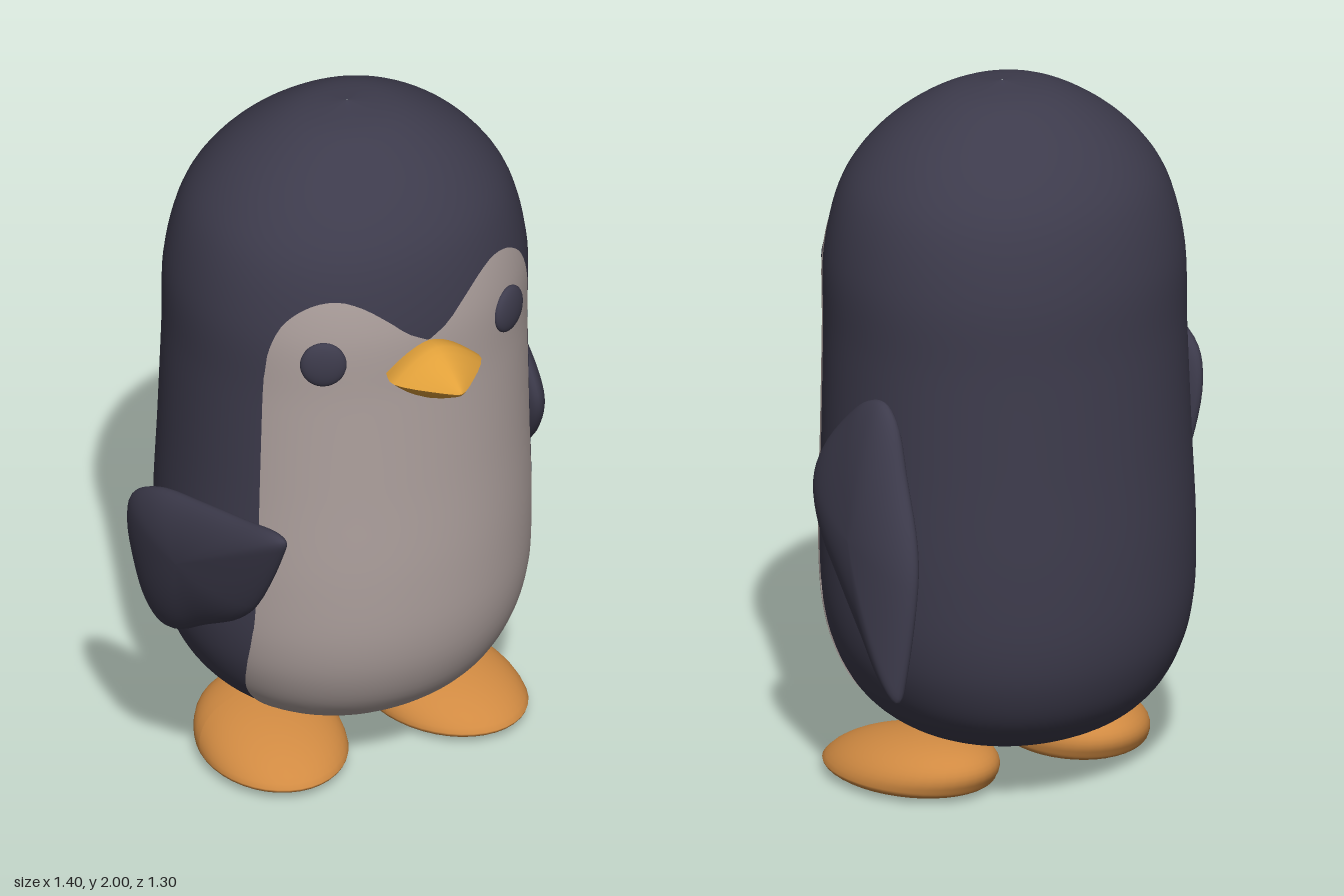
import * as THREE from 'three';

const V = (x, y, z = 0) => new THREE.Vector3(x, y, z);
const curve = (pts, closed = false) => new THREE.CatmullRomCurve3(pts.map(p => V(p[0], p[1])), closed);

// find the point of a curve where its coordinate "key" (rising along it) equals value
function at(c, key, value) {
  let lo = 0, hi = 1;
  for (let i = 0; i < 30; i++) {
    const m = (lo + hi) / 2;
    if (c.getPoint(m)[key] < value) lo = m; else hi = m;
  }
  return c.getPoint((lo + hi) / 2);
}

// skin rows of points; closed rows are wrapped and turned to face outward
function loft(rows, closed = true) {
  const n = rows[0].length, index = [], pos = rows.flat().flatMap(p => [p.x, p.y, p.z]);
  for (let i = 0; i < rows.length - 1; i++) {
    for (let j = 0; j < (closed ? n : n - 1); j++) {
      const a = i * n + j, b = i * n + (j + 1) % n;
      index.push(a, b, b + n, a, b + n, a + n);
    }
  }
  if (closed) {
    const all = rows.flat();
    let volume = 0;
    for (let i = 0; i < index.length; i += 3) {
      volume += all[index[i]].dot(V(0, 0).crossVectors(all[index[i + 1]], all[index[i + 2]]));
    }
    if (volume < 0) index.reverse();
  }
  const g = new THREE.BufferGeometry();
  g.setAttribute('position', new THREE.Float32BufferAttribute(pos, 3));
  g.setIndex(index);
  g.computeVertexNormals();
  return g;
}

const range = (n, f) => Array.from({ length: n }, (_, i) => f(i));
const CX = 0.07; // centre line of the body

// body profile: half width against height
const profile = curve([[0.002, 0.125], [0.2, 0.14], [0.33, 0.19], [0.42, 0.27], [0.48, 0.38], [0.51, 0.5],
  [0.52, 0.7], [0.512, 1], [0.505, 1.3], [0.502, 1.52], [0.46, 1.7], [0.4, 1.8], [0.3, 1.895],
  [0.16, 1.972], [0.002, 2]]);
const depth = (a, y) => a * (0.955 - 0.027 * y);
const midZ = y => -0.17 + 0.02 * y;
const POW = 2.08;
const bend = v => Math.sign(v) * Math.abs(v) ** (2 / POW);

function bodyGeometry() {
  return loft(range(81, i => {
    const { x: a, y } = profile.getPoint(i / 80);
    return range(72, j => {
      const q = j / 72 * Math.PI * 2;
      return V(CX + a * bend(Math.cos(q)), y, midZ(y) + depth(a, y) * bend(Math.sin(q)));
    });
  }));
}

// pale face and belly, following the front of the body
function bellyGeometry() {
  const top = curve([[0, 1.475], [0.15, 1.51], [0.29, 1.56], [0.46, 1.61], [0.61, 1.63], [0.78, 1.61],
    [0.92, 1.55], [0.985, 1.47], [1, 1.38]]);
  const low = curve([[0, 0.15], [0.45, 0.162], [0.65, 0.19], [0.83, 0.25], [0.94, 0.33], [0.99, 0.43], [1, 0.55]]);
  const g = loft(range(49, i => {
    const u = Math.sin((i / 48 - 0.5) * Math.PI), k = Math.abs(u);
    const y0 = at(low, 'x', k).y, y1 = at(top, 'x', k).y;
    return range(49, j => {
      const y = y0 + (y1 - y0) * (1 - Math.cos(j / 48 * Math.PI)) / 2;
      const x = u * (0.445 - 0.025 * y), a = at(profile, 'y', y).x;
      const s = Math.min(1, Math.abs(x / a));
      return V(CX + x, y, midZ(y) + depth(a, y) * (1 - s ** POW) ** (1 / POW));
    });
  }), false);
  // face forward, then lift slightly off the body
  if (g.attributes.normal.getZ(24 * 49 + 24) < 0) {
    g.index.array.reverse();
    g.computeVertexNormals();
  }
  const p = g.attributes.position, n = g.attributes.normal;
  for (let i = 0; i < p.count; i++) {
    p.setXYZ(i, p.getX(i) + n.getX(i) * 0.004, p.getY(i) + n.getY(i) * 0.004, p.getZ(i) + n.getZ(i) * 0.004);
  }
  return g;
}

// lens-shaped beak, with upper and lower halves meeting at a crease
function beakHalf(side) {
  const stations = [[0.24, 0.75], [0.3, 0.87], [0.33, 0.95], [0.355, 1], [0.375, 0.98], [0.4, 0.87], [0.43, 0.68],
    [0.46, 0.46], [0.485, 0.27], [0.502, 0.12], [0.51, 0.002]];
  return loft(stations.map(([z, s]) => range(25, j => {
    const c = -side * Math.cos(j / 24 * Math.PI);
    return V(CX + 0.14 * s * c, 1.4 + side * 0.08 * s * (1 - Math.abs(c) ** 1.7), z);
  })), false);
}

// flat-soled foot, highest near the heel
function footGeometry() {
  const g = new THREE.SphereGeometry(1, 40, 28);
  const p = g.attributes.position;
  for (let i = 0; i < p.count; i++) {
    const x = p.getX(i), y = p.getY(i), z = p.getZ(i);
    const h = y > 0 ? 0.04 + 0.115 * y : Math.max(0.005, 0.04 + 0.05 * y);
    p.setXYZ(i, x * 0.205, h, z * 0.265 - Math.max(0, y) * 0.09);
  }
  g.computeVertexNormals();
  return g;
}

// padded leaf-shaped wing; place() maps its side outline (z, y) and thickness into space
const wingOutline = curve([[-0.27, 1.21], [-0.2, 1.195], [-0.13, 1.14], [-0.03, 1.02], [0, 0.92], [-0.05, 0.8],
  [-0.18, 0.66], [-0.32, 0.52], [-0.425, 0.415], [-0.46, 0.405], [-0.475, 0.47], [-0.488, 0.74], [-0.465, 0.86],
  [-0.39, 1.03], [-0.325, 1.17]], true);
function wingGeometry(place) {
  const cz = -0.27, cy = 0.83;
  return loft(range(25, i => {
    const q = i / 24 * Math.PI, s = Math.max(0.002, Math.sin(q));
    return range(64, j => {
      const o = wingOutline.getPoint(j / 64);
      const bow = 0.015 * (1 - s * s);
      return place(cz + (o.x - cz) * s, cy + (o.y - cy) * s, Math.cos(q) * 0.066 + bow);
    });
  }));
}

export function createModel() {
  const mat = (name, color) => new THREE.MeshStandardMaterial({ name, color });
  const navy = mat('dark navy', 0x3d3b4c);
  const pale = mat('pale belly', 0xada09d);
  const gold = mat('beak gold', 0xe0a03a);
  const orange = mat('foot orange', 0xd08a42);
  pale.side = gold.side = THREE.DoubleSide;

  const model = new THREE.Group();
  model.name = 'penguin';
  const add = (name, geometry, material) => {
    const m = new THREE.Mesh(geometry, material);
    m.name = name;
    model.add(m);
    return m;
  };

  add('body', bodyGeometry(), navy);
  add('belly', bellyGeometry(), pale);
  add('upperBeak', beakHalf(1), gold);
  add('lowerBeak', beakHalf(-1), gold);

  for (const [side, label] of [[1, 'left'], [-1, 'right']]) {
    const eye = add(label + 'Eye', new THREE.SphereGeometry(1, 28, 20), navy);
    eye.scale.set(0.064, 0.069, 0.024);
    eye.position.set(CX + side * 0.29, 1.445, 0.253);
    eye.rotation.y = side * 0.48;

    const foot = add(label + 'Foot', footGeometry(), orange);
    foot.position.set(CX + side * 0.27, 0, -0.072);
    foot.rotation.y = side * 0.2;
  }

  // left wing hangs by the body, right wing is raised forward
  add('leftWing', wingGeometry((z, y, t) => V(0.698 - 0.107 * y + t, y, z)), navy);
  const c = Math.cos(2.56), s = Math.sin(2.56);
  add('rightWing', wingGeometry((z, y, t) => {
    const dz = z + 0.27, dy = y - 1.21;
    const rz = 0.05 + dz * c - dy * s, ry = 0.63 + dz * s + dy * c;
    return V(-0.56 + 0.167 * rz - 0.096 * ry - t, ry, rz);
  }), navy);

  return model;
}
